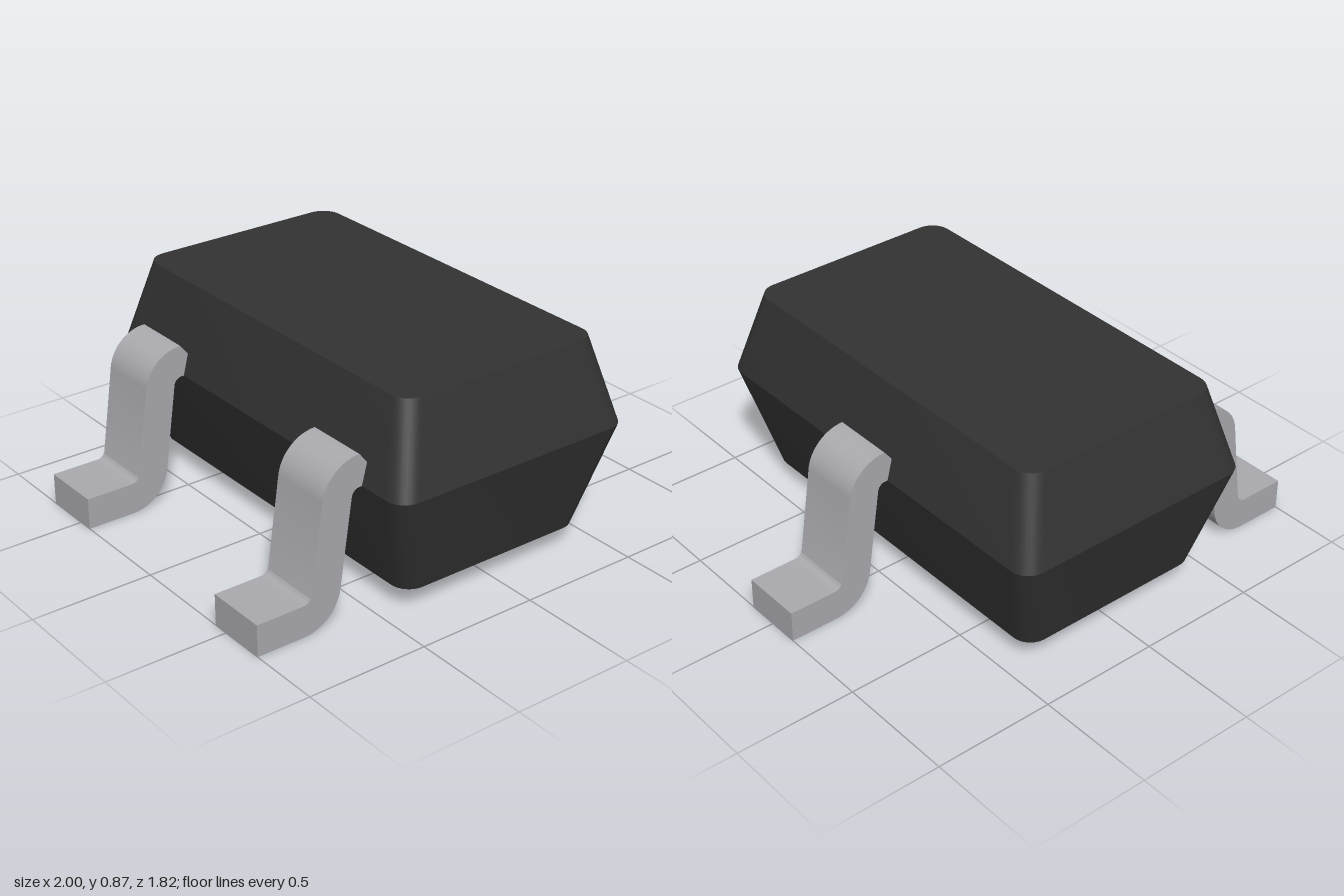
import * as THREE from 'three';
import { toCreasedNormals } from 'three/addons/utils/BufferGeometryUtils.js';

// Rounded rectangle outline in the xz plane, at height y
function ring(y, hx, hz, r, steps = 8) {
  const points = [];
  const corners = [[1, 1], [-1, 1], [-1, -1], [1, -1]];
  corners.forEach(([sx, sz], c) => {
    for (let i = 0; i <= steps; i++) {
      const a = (c + i / steps) * Math.PI / 2;
      points.push(new THREE.Vector3(
        sx * (hx - r) + Math.cos(a) * r, y, sz * (hz - r) + Math.sin(a) * r));
    }
  });
  return points;
}

// Closed solid through a stack of rings, from bottom to top
function loft(rings) {
  const pos = [];
  const tri = (...pts) => pts.forEach((p) => pos.push(p.x, p.y, p.z));
  const n = rings[0].length;
  const bottom = rings[0], top = rings[rings.length - 1];
  const bottomCentre = new THREE.Vector3(0, bottom[0].y, 0);
  const topCentre = new THREE.Vector3(0, top[0].y, 0);
  for (let i = 0; i < n; i++) {
    const j = (i + 1) % n;
    for (let k = 0; k < rings.length - 1; k++) {
      const lo = rings[k], hi = rings[k + 1];
      tri(lo[i], hi[i], hi[j]);
      tri(lo[i], hi[j], lo[j]);
    }
    tri(bottomCentre, bottom[i], bottom[j]);
    tri(topCentre, top[j], top[i]);
  }
  const geo = new THREE.BufferGeometry();
  geo.setAttribute('position', new THREE.Float32BufferAttribute(pos, 3));
  return toCreasedNormals(geo, 0.3);
}

// Gull-wing strip: two opposite bends joined by a slightly slanted shank
function leadGeometry() {
  const width = 0.26, outer = 0.165, inner = 0.035;
  const ax = 0.55, ay = 0.49, bx = 0.8, by = 0.165;
  const dx = bx - ax, dy = by - ay;
  const t = Math.atan2(dy, dx) + Math.acos((outer + inner) / Math.hypot(dx, dy));
  const s = new THREE.Shape();
  s.moveTo(0.45, ay + outer);
  s.absarc(ax, ay, outer, Math.PI / 2, t, true);
  s.absarc(bx, by, inner, Math.PI + t, Math.PI * 1.5, false);
  s.lineTo(1, by - inner);
  s.lineTo(1, 0);
  s.absarc(bx, by, outer, Math.PI * 1.5, Math.PI + t, true);
  s.absarc(ax, ay, inner, t, Math.PI / 2, false);
  s.lineTo(0.45, ay + inner);
  s.closePath();
  const geo = new THREE.ExtrudeGeometry(s, { depth: width, bevelEnabled: false, curveSegments: 10 });
  geo.translate(0, 0, -width / 2);
  return toCreasedNormals(geo, 0.4);
}

export function createModel() {
  const model = new THREE.Group();
  model.name = 'transistorPackage';

  const plastic = new THREE.MeshStandardMaterial({ color: 0x333333 });
  plastic.name = 'black plastic';
  const metal = new THREE.MeshStandardMaterial({ color: 0xaaaaaf });
  metal.name = 'tinned metal';

  // Moulded body, widest at the parting line
  const body = new THREE.Mesh(loft([
    ring(0.09, 0.425, 0.8, 0.08),
    ring(0.525, 0.54, 0.912, 0.08),
    ring(0.872, 0.45, 0.82, 0.08),
  ]), plastic);
  body.name = 'body';
  model.add(body);

  // One lead on the left side, two on the right
  const geo = leadGeometry();
  const leads = [['leftLead', 0, 0], ['rightFrontLead', 0.565, Math.PI], ['rightBackLead', -0.565, Math.PI]];
  for (const [name, z, turn] of leads) {
    const lead = new THREE.Mesh(geo, metal);
    lead.name = name;
    lead.position.z = z;
    lead.rotation.y = turn;
    model.add(lead);
  }
  return model;
}
